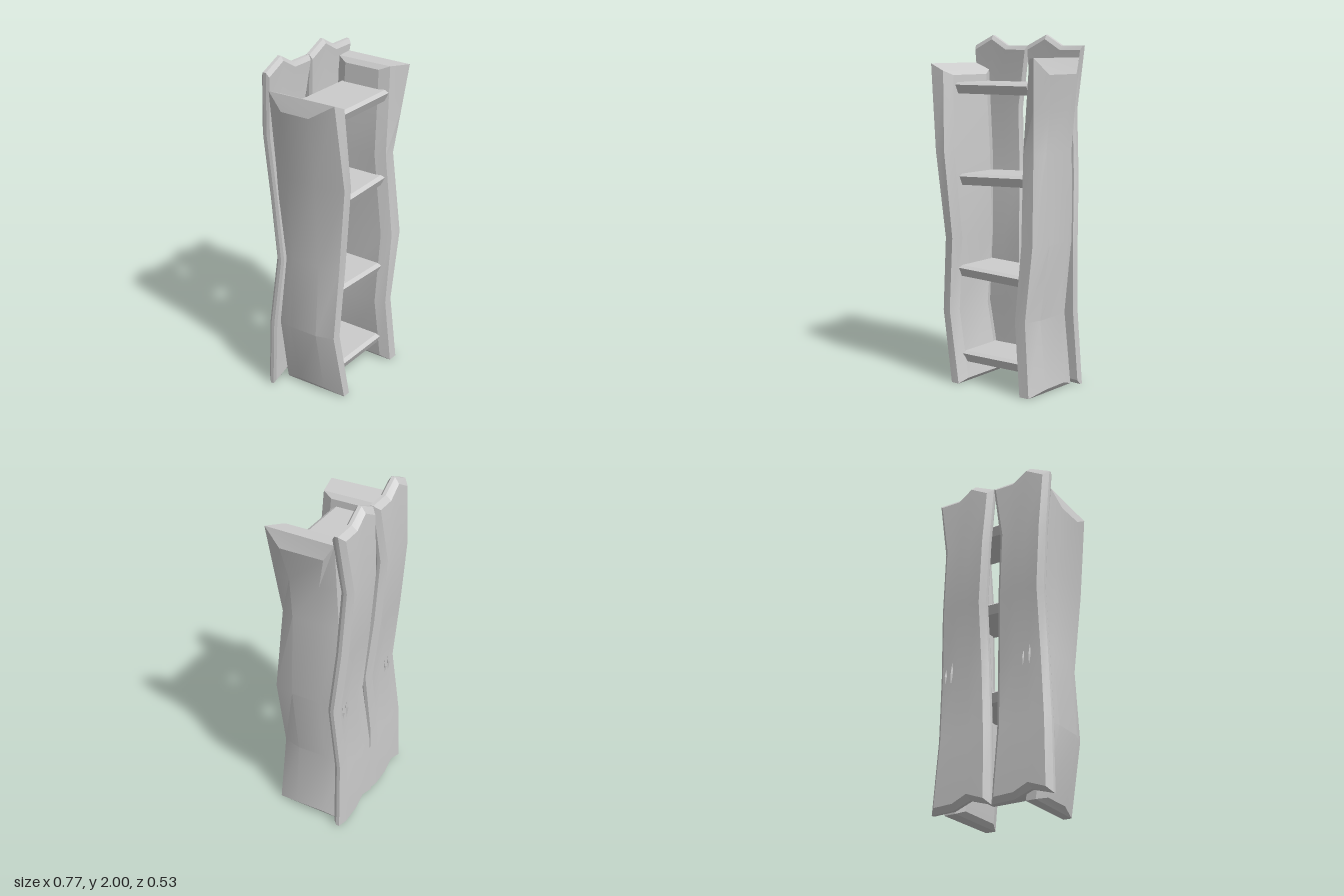
import * as THREE from 'three';
import { toCreasedNormals } from 'three/addons/utils/BufferGeometryUtils.js';

const material = new THREE.MeshStandardMaterial({ color: 0xcccccc });

// Joins closed rings of [x, y, z] points (counter-clockwise from the far end) and caps both ends.
function loft(name, rings) {
  const n = rings[0].length, index = [];
  const quad = (a, b, c, d) => index.push(a, b, c, a, c, d);
  for (let r = 0; r < rings.length - 1; r++) {
    for (let i = 0; i < n; i++) {
      const j = (i + 1) % n, a = r * n, b = a + n;
      quad(a + i, a + j, b + j, b + i);
    }
  }
  const last = (rings.length - 1) * n;
  for (let i = 0; i < n / 2 - 1; i++) {
    quad(last + i, last + i + 1, last + n - 2 - i, last + n - 1 - i);
    quad(n - 1 - i, n - 2 - i, i + 1, i);
  }
  const geometry = new THREE.BufferGeometry();
  geometry.setAttribute('position', new THREE.Float32BufferAttribute(rings.flat(2), 3));
  geometry.setIndex(index);
  const mesh = new THREE.Mesh(toCreasedNormals(geometry.toNonIndexed(), 0.33), material);
  mesh.name = name;
  return mesh;
}

// Wavy back board: levels are [y, left x, right x, front z], ends are zigzag.
function backPlank(name, dx) {
  const levels = [
    [0, -0.373, 0.002, -0.185], [0.42, -0.363, -0.025, -0.175], [0.82, -0.327, -0.008, -0.142],
    [1.2, -0.327, -0.03, -0.18], [1.58, -0.357, -0.055, -0.198], [1.94, -0.373, 0.005, -0.178],
  ];
  const columns = [0, 0.34, 0.62, 1];
  const ends = { 0: [0.005, 0.045, 0.005, 0], 5: [1.94, 2, 1.94, 1.94] };
  const rings = levels.flatMap(([y, l, r, z], k) => {
    const ys = ends[k] || [y, y, y, y];
    const bevel = k === 0 ? 1 : k === 5 ? -1 : 0;
    const row = (inset, depth, lift) => columns.map((u, i) =>
      [l + inset + (r - l - 2 * inset) * u + dx, ys[i] + bevel * lift, z - depth]);
    const rim1 = row(0, 0.016, 0), rim2 = row(0, 0.036, 0);
    const ring = (front, back) =>
      [rim1[0], ...front, rim1[3], rim2[3], ...back.reverse(), rim2[0]];
    const body = ring(row(0.008, 0, 0.025), row(0.03, 0.066, 0.03));
    // Both ends rise to a narrow crest between the front and back bevels
    const crest = ring(rim1, [...rim2]);
    return k === 0 ? [crest, body] : k === 5 ? [body, crest] : [body];
  });
  return loft(name, rings);
}

// Crooked side board: levels are [y, shoulder x, inner x, shoulder z, inner z], x measured outwards.
function sideRail(name, side, topZ, topSlope, levels) {
  const top = levels.length - 1;
  const rings = levels.map(([y, shoulder, inner, zs, zi], k) => {
    const end = k === 0 ? 1 : k === top ? -1 : 0;
    const slope = k === top ? topSlope : 0;
    const outerY = y + (k === top ? -0.09 : end * 0.03), innerY = y - slope + end * 0.025;
    const outerZ = k === top ? topZ : 0.09, zb = -0.185;
    const ring = [
      [shoulder + 0.03, outerY, outerZ], [shoulder, y, zs],
      [inner + 0.025, y - slope, zi], [inner, innerY, zi - 0.06],
      [inner, innerY, zb + 0.06], [inner + 0.025, y - slope, zb],
      [shoulder + 0.01, y, zb], [shoulder + 0.03, outerY, -outerZ],
    ].map(([x, py, z]) => [side * x, py, z]);
    return side < 0 ? ring : ring.reverse();
  });
  return loft(name, rings);
}

// Bevelled shelf board running between the two rails.
function shelf(name, xl, xr, yl, yr) {
  const section = [
    [0.03, 0.14], [0.016, 0.163], [-0.034, 0.14],
    [-0.034, -0.14], [0.016, -0.16], [0.03, -0.145],
  ];
  const ring = (x, y) => section.map(([h, z]) => [x, y + h, z]);
  return loft(name, [ring(xl, yl), ring(xr, yr)]);
}

// Thin crack mark on the back of a board.
function crack(x, y, height) {
  const mesh = new THREE.Mesh(new THREE.OctahedronGeometry(1), material);
  mesh.scale.set(0.006, height / 2, 0.012);
  mesh.position.set(x, y, -0.211);
  mesh.rotation.z = 0.05;
  mesh.name = 'woodCrack';
  return mesh;
}

export function createModel() {
  const group = new THREE.Group();
  group.name = 'bookshelf';

  group.add(backPlank('rightBackPlank', 0), backPlank('leftBackPlank', 0.38));

  group.add(sideRail('rightSideRail', -1, 0.09, 0.04, [
    [0, 0.235, 0.16, 0.215, 0.215], [0.42, 0.31, 0.235, 0.195, 0.2],
    [0.85, 0.277, 0.2, 0.21, 0.215], [1.35, 0.302, 0.217, 0.262, 0.262],
    [1.84, 0.355, 0.242, 0.235, 0.235],
  ]));
  group.add(sideRail('leftSideRail', 1, 0.13, 0.005, [
    [0, 0.315, 0.228, 0.215, 0.215], [0.42, 0.275, 0.185, 0.195, 0.2],
    [0.85, 0.335, 0.232, 0.21, 0.205], [1.35, 0.31, 0.214, 0.168, 0.165],
    [1.6, 0.333, 0.232, 0.2, 0.163], [1.875, 0.357, 0.25, 0.235, 0.16],
  ]));

  // Four shelves from bottom to top: right end x, left end x, heights at both ends
  [
    [-0.2, 0.23, 0.152, 0.152], [-0.222, 0.215, 0.655, 0.638],
    [-0.222, 0.24, 1.185, 1.2], [-0.25, 0.258, 1.705, 1.705],
  ].forEach((s, i) => group.add(shelf(`shelf${i + 1}`, ...s)));

  group.add(crack(0.32, 0.8, 0.1), crack(0.28, 0.81, 0.18),
    crack(-0.19, 0.8, 0.1), crack(-0.23, 0.81, 0.15));

  return group;
}
